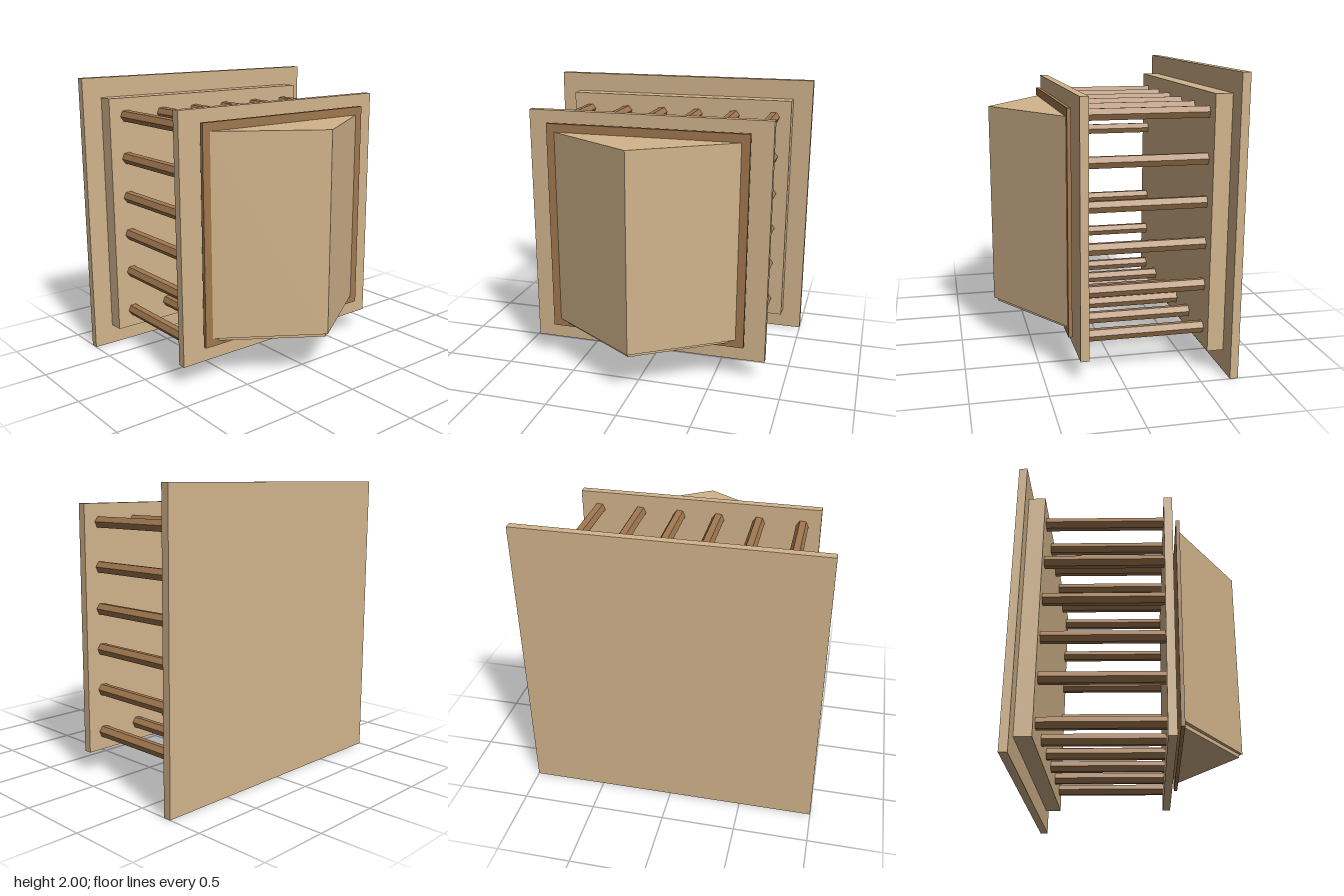
import * as THREE from 'three';

const tan = new THREE.MeshStandardMaterial({ color: 0xd2b48c, flatShading: true });
const brown = new THREE.MeshStandardMaterial({ color: 0xa0784f, flatShading: true });

export function createModel() {
  const root = new THREE.Group();
  root.name = 'barredHousing';

  const add = (name, geometry, material, x, y, z) => {
    const mesh = new THREE.Mesh(geometry, material);
    mesh.name = name;
    mesh.position.set(x, y, z);
    root.add(mesh);
    return mesh;
  };

  // Upright plate spanning z0..z1
  const plate = (name, w, h, y, z0, z1, material) =>
    add(name, new THREE.BoxGeometry(w, h, z1 - z0), material, 0, y, (z0 + z1) / 2);

  // Vertical wedge with a triangular plan, pointing forward
  const wedge = (name, halfWidth, zBase, zTip, yBottom, yTop) => {
    const plan = new THREE.Shape([
      new THREE.Vector2(-halfWidth, zBase),
      new THREE.Vector2(halfWidth, zBase),
      new THREE.Vector2(0, zTip),
    ]);
    const geometry = new THREE.ExtrudeGeometry(plan, { depth: yTop - yBottom, bevelEnabled: false });
    geometry.rotateX(Math.PI / 2);
    add(name, geometry, tan, 0, yTop, 0);
  };

  // Stacked back plates and front panel
  plate('backPlate', 2, 2, 1, -0.755, -0.7, tan);
  plate('backBlock', 1.715, 1.715, 1.002, -0.7, -0.588, tan);
  plate('frontPanel', 1.715, 1.715, 1.002, 0.215, 0.272, tan);

  // Trim plate and the pointed front on it
  plate('frontTrim', 1.425, 1.515, 1.018, 0.3, 0.326, brown);
  wedge('frontWedge', 0.655, 0.326, 0.755, 0.316, 1.717);
  wedge('wedgeFoot', 0.605, 0.326, 0.73, 0.29, 0.316);

  // Hexagonal bars around the perimeter, six to a side
  const steps = [-0.73, -0.427, -0.14, 0.14, 0.427, 0.73];
  const barGeometry = new THREE.CylinderGeometry(0.043, 0.043, 0.803, 6);
  barGeometry.rotateX(Math.PI / 2);
  barGeometry.rotateZ(Math.PI / 6 + 0.1);
  steps.forEach((x, i) => steps.forEach((y, j) => {
    const onEdge = i === 0 || i === 5 || j === 0 || j === 5;
    if (onEdge) add('bar', barGeometry, brown, x, 1.003 + y, -0.1865);
  }));

  return root;
}
